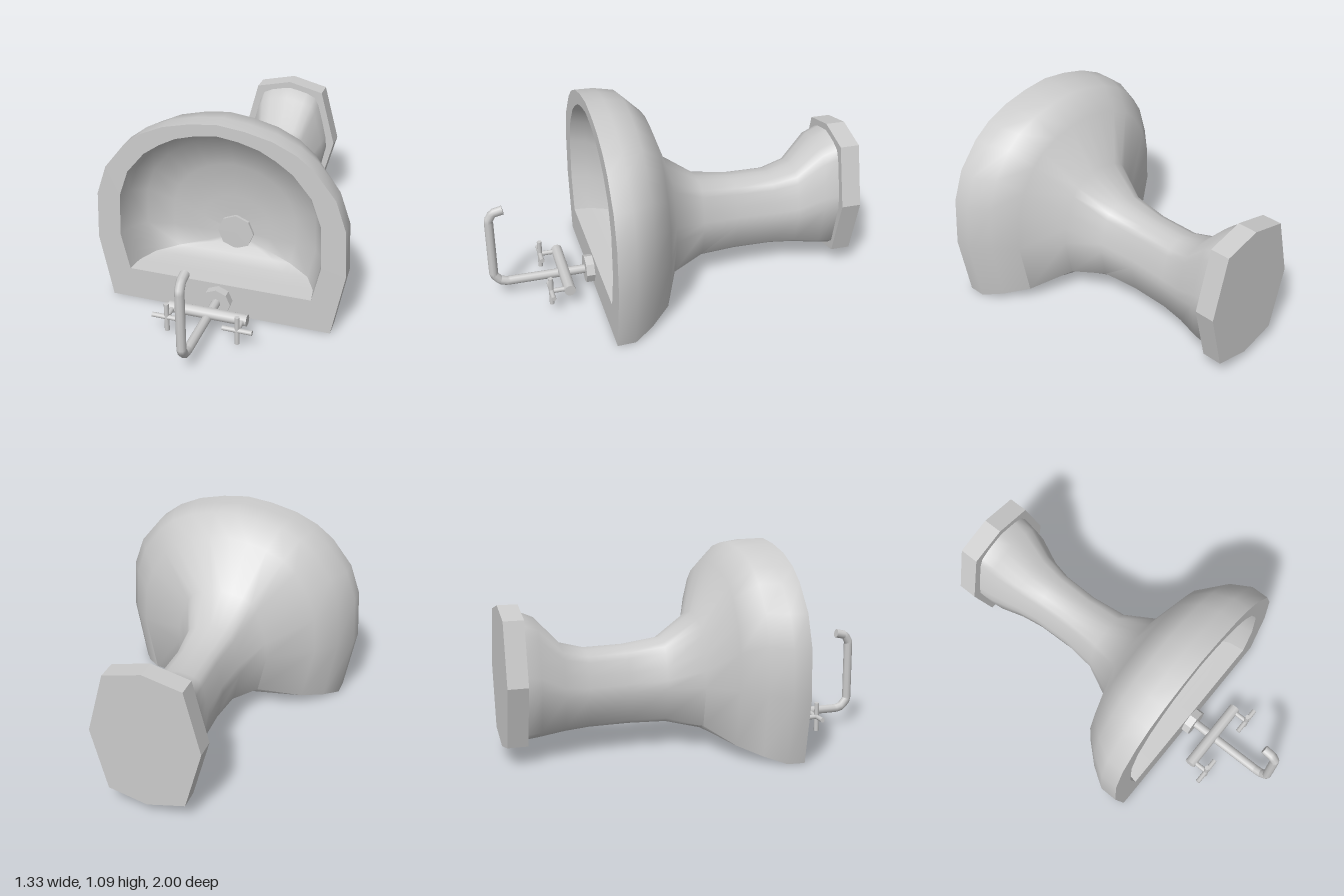
import * as THREE from 'three';
import { toCreasedNormals } from 'three/addons/utils/BufferGeometryUtils.js';

// Half outlines, top to bottom: x from 0 to 1 of the half width, y from 0 to 1 of the height
const RIM = [[0, 1], [.21, .985], [.42, .954], [.6, .903], [.735, .839], [.9, .71],
  [.982, .562], [1, .323], [.9, 0], [.64, 0], [0, 0]];
const BASIN = [[0, 1], [.204, .982], [.398, .947], [.556, .893], [.713, .822], [.889, .686],
  [.982, .515], [1, .237], [.917, 0], [.65, 0], [0, 0]];
const NECK = [[0, 1], [.22, .985], [.45, .965], [.66, .93], [.76, .86], [.88, .7],
  [.97, .56], [1, .46], [.78, .1], [.62, .05], [0, 0]];

const material = () => new THREE.MeshStandardMaterial({ color: 0xcccccc });

function add(parent, name, geometry, x = 0, y = 0, z = 0) {
  const mesh = new THREE.Mesh(geometry, material());
  mesh.name = name;
  mesh.position.set(x, y, z);
  parent.add(mesh);
  return mesh;
}

// Closed ring of points from a blend of two half outlines, mirrored in x
function ring(a, b, [z, w, top, bottom, blend = 0]) {
  const half = a.map(([x, y], i) => [
    THREE.MathUtils.lerp(x, b[i][0], blend) * w,
    bottom + THREE.MathUtils.lerp(y, b[i][1], blend) * (top - bottom), z]);
  const mirrored = half.slice(1, -1).reverse().map(([x, y, d]) => [-x, y, d]);
  return [...half, ...mirrored];
}

// Skin between successive rings
function loft(rings, inward = false) {
  const n = rings[0].length, index = [];
  for (let i = 0; i < rings.length - 1; i++) {
    for (let j = 0; j < n; j++) {
      const a = i * n + j, b = i * n + (j + 1) % n, c = a + n, d = b + n;
      if (inward) index.push(a, c, b, b, c, d);
      else index.push(a, b, c, b, d, c);
    }
  }
  const g = new THREE.BufferGeometry();
  g.setAttribute('position', new THREE.Float32BufferAttribute(rings.flat(2), 3));
  g.setIndex(index);
  return toCreasedNormals(g, .95);
}

// Cylinder along a chosen axis
function rod(radius, length, axis, sides = 10) {
  const g = new THREE.CylinderGeometry(radius, radius, length, sides);
  if (axis === 'x') g.rotateZ(Math.PI / 2);
  if (axis === 'z') g.rotateX(Math.PI / 2);
  return g;
}

export function createModel() {
  const group = new THREE.Group();
  group.name = 'pedestalSink';

  // Outer body: bowl narrowing to the pedestal (z, half width, top, bottom, blend)
  const outer = [
    [.44, .667, 1.085, 0, 0], [.345, .667, 1.083, .003, 0], [.24, .6, 1.07, .03, .04],
    [.13, .5, .965, .055, .2], [.03, .26, .7, .08, .7], [-.15, .172, .575, .115, 1],
    [-.35, .148, .55, .12, 1], [-.56, .155, .545, .12, 1], [-.69, .18, .58, .112, 1],
    [-.82, .23, .72, .095, 1], [-.9, .24, .755, .085, 1],
  ].map(s => ring(RIM, NECK, s));
  add(group, 'bowlAndPedestal', loft(outer));

  // Hollow of the bowl
  const inner = [
    [.44, .54, 1.025, .18], [.35, .525, 1.0, .183], [.25, .465, .92, .19],
    [.18, .34, .75, .21], [.145, .19, .55, .245], [.135, .02, .35, .31],
  ].map(s => ring(BASIN, BASIN, s));
  add(group, 'basin', loft(inner, true));

  // Flat rim between the two outlines
  add(group, 'rim', loft([outer[0], inner[0]], true));

  // Foot plate
  const foot = [[0, 1], [.7, .87], [1, 0], [.7, -.87], [0, -1], [-.7, -.87], [-1, 0], [-.7, .87]]
    .map(([x, y]) => new THREE.Vector2(x * .285, y * .37));
  add(group, 'footPlate', new THREE.ExtrudeGeometry(new THREE.Shape(foot),
    { depth: .105, bevelEnabled: false }), 0, .42, -1);

  // Drain and tap flange
  add(group, 'drain', toCreasedNormals(rod(.1, .03, 'z', 8), .5), 0, .33, .14);
  add(group, 'tapFlange', toCreasedNormals(rod(.077, .05, 'z', 8), .5), 0, .09, .46);

  // Spout: straight runs with mitred bends
  const path = new THREE.CurvePath();
  const points = [[.09, .45], [.09, .91], [.1, .945], [.14, .977], [.48, .977], [.517, .955], [.53, .9]]
    .map(([y, z]) => new THREE.Vector3(0, y, z));
  for (let i = 1; i < points.length; i++) path.add(new THREE.LineCurve3(points[i - 1], points[i]));
  add(group, 'spout', new THREE.TubeGeometry(path, 60, .024, 10));
  const tip = add(group, 'spoutTip', new THREE.CircleGeometry(.024, 10), 0, .53, .9);
  tip.rotation.x = Math.PI + .23;

  // Crossbar with two cross handles
  add(group, 'crossbar', rod(.031, .42, 'x'), 0, .106, .603);
  for (const side of [-1, 1]) {
    const valve = new THREE.Group();
    valve.name = side > 0 ? 'leftHandle' : 'rightHandle';
    valve.position.set(side * .187, .108, .7);
    add(valve, 'stem', rod(.013, .1, 'z'), 0, 0, -.05);
    add(valve, 'uprightBar', rod(.013, .158, 'y'));
    add(valve, 'crossBar', rod(.013, .156, 'x'));
    group.add(valve);
  }
  return group;
}
